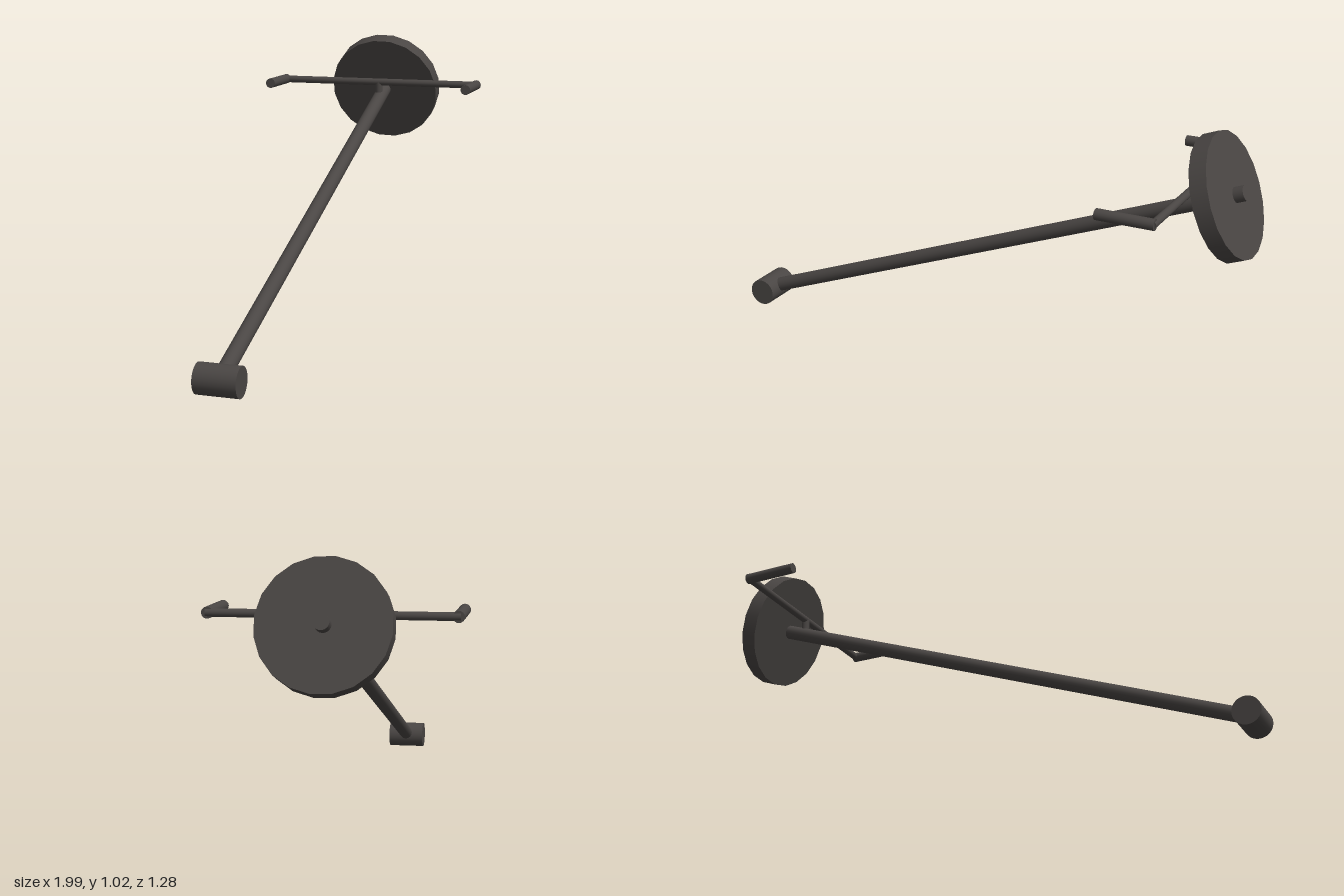
import * as THREE from 'three';

export function createModel() {
  const model = new THREE.Group();
  const darkMetal = new THREE.MeshStandardMaterial({ color: 0x4a4644 });
  darkMetal.name = 'darkMetal';
  const UP = new THREE.Vector3(0, 1, 0);

  // A round bar between two points
  function rod(name, a, b, radius, sides = 20) {
    const dir = b.clone().sub(a);
    const mesh = new THREE.Mesh(
      new THREE.CylinderGeometry(radius, radius, dir.length(), sides), darkMetal);
    mesh.name = name;
    mesh.position.copy(a).add(b).multiplyScalar(0.5);
    mesh.quaternion.setFromUnitVectors(UP, dir.normalize());
    model.add(mesh);
  }
  const along = (p, dir, d) => p.clone().addScaledVector(dir, d);

  const foot = new THREE.Vector3(-0.92, 0.053, 0.54);
  const plateCentre = new THREE.Vector3(0.848, 0.795, -0.288);
  const axis = plateCentre.clone().sub(foot).normalize();
  const across = new THREE.Vector3(0.425, 0, 0.905).normalize();
  const back = new THREE.Vector3(-across.z, 0, across.x);

  // Pivot sleeve at the foot, and the long bar running through the plate
  rod('pivotSleeve', along(foot, across, -0.075), along(foot, across, 0.075), 0.053, 24);
  rod('mainBar', foot, along(plateCentre, axis, 0.07), 0.028);

  // Weight plate
  rod('weightPlate', along(plateCentre, axis, -0.032), along(plateCentre, axis, 0.032), 0.228, 20);

  // Handlebar carried on a short stem
  const barCentre = new THREE.Vector3(0.75, 0.822, -0.245);
  rod('handleStem', new THREE.Vector3(0.75, 0.753, -0.245), barCentre, 0.015, 12);
  rod('handleBar', along(barCentre, across, -0.425), along(barCentre, across, 0.425), 0.0145, 16);
  for (const side of [-1, 1]) {
    const corner = along(barCentre, across, side * 0.418);
    rod(side > 0 ? 'leftGrip' : 'rightGrip', along(corner, back, -0.008), along(corner, back, 0.202), 0.02, 16);
  }
  return model;
}
